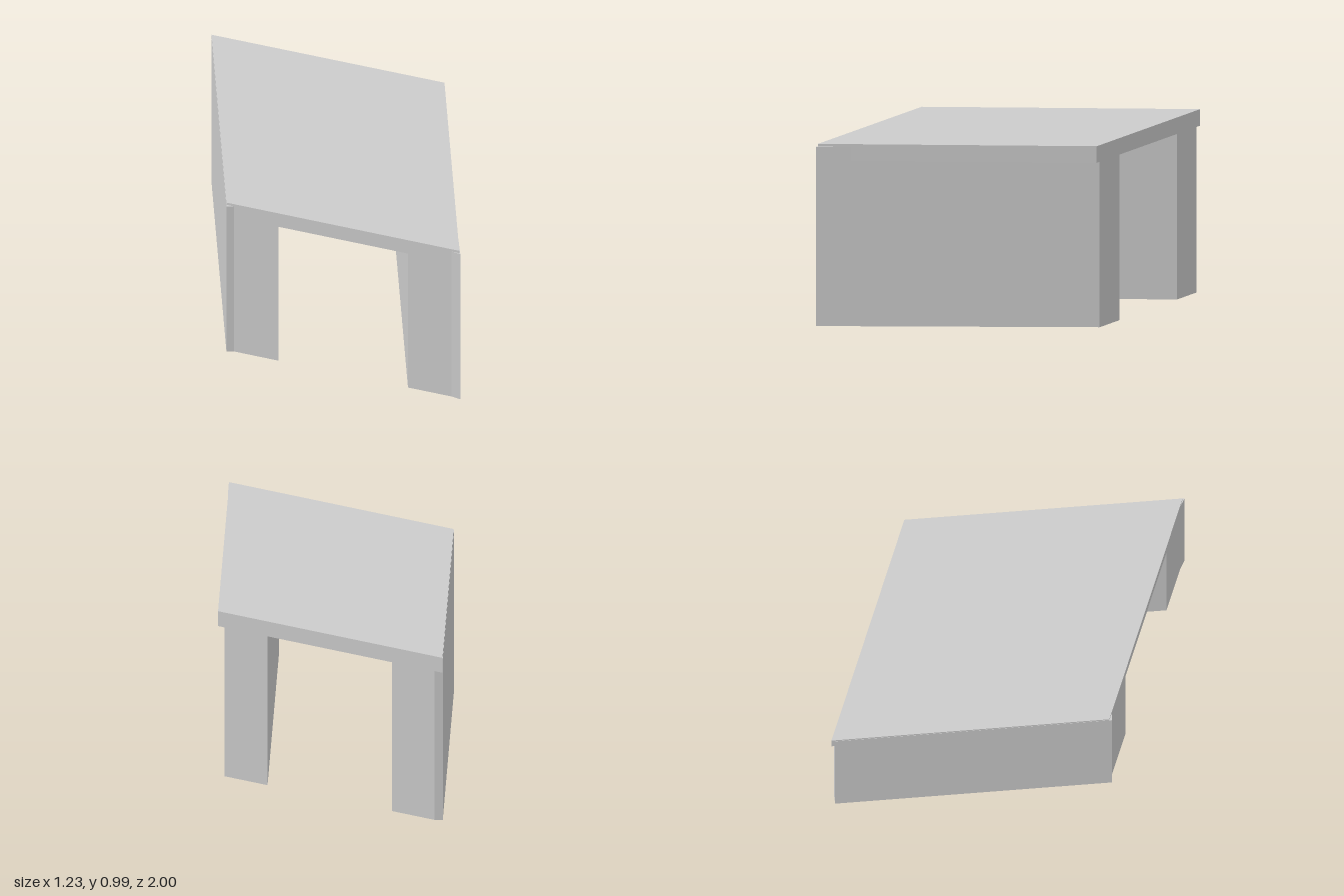
import * as THREE from 'three';

const material = new THREE.MeshStandardMaterial({ color: 0xcccccc, flatShading: true });

// Upright prism from a floor outline of [x, z] corners
function prism(name, outline, bottom, top) {
  const shape = new THREE.Shape(outline.map(([x, z]) => new THREE.Vector2(x, -z)));
  const geometry = new THREE.ExtrudeGeometry(shape, { depth: top - bottom, bevelEnabled: false });
  geometry.rotateX(-Math.PI / 2);
  geometry.translate(0, bottom, 0);
  const mesh = new THREE.Mesh(geometry, material);
  mesh.name = name;
  return mesh;
}

// Slanted front and back edges of the slab
const frontZ = (x) => 0.743 + 0.404 * x;
const backZ = (x) => -0.753 + 0.402 * x;

export function createModel() {
  const group = new THREE.Group();
  group.name = 'slabOnWalls';

  // Sheared top slab
  const w = 0.614, e = 0.61;
  group.add(prism('topSlab', [
    [-w, frontZ(-w)], [e, frontZ(e)], [e, backZ(e)], [-w, backZ(-w)],
  ], 0.9, 0.99));

  // Left wall, its outer face drawn in towards the back
  group.add(prism('leftWall', [
    [0.34, frontZ(0.34)], [0.57, frontZ(0.57)], [0.615, 1.0],
    [0.575, backZ(0.575)], [0.34, backZ(0.34)],
  ], 0, 0.975));

  // Right wall, its outer corners squared off
  group.add(prism('rightWall', [
    [-0.615, 0.51], [-0.575, frontZ(-0.575)], [-0.34, frontZ(-0.34)],
    [-0.34, backZ(-0.34)], [-0.57, backZ(-0.57)], [-0.615, -0.98],
  ], 0, 0.975));

  return group;
}
